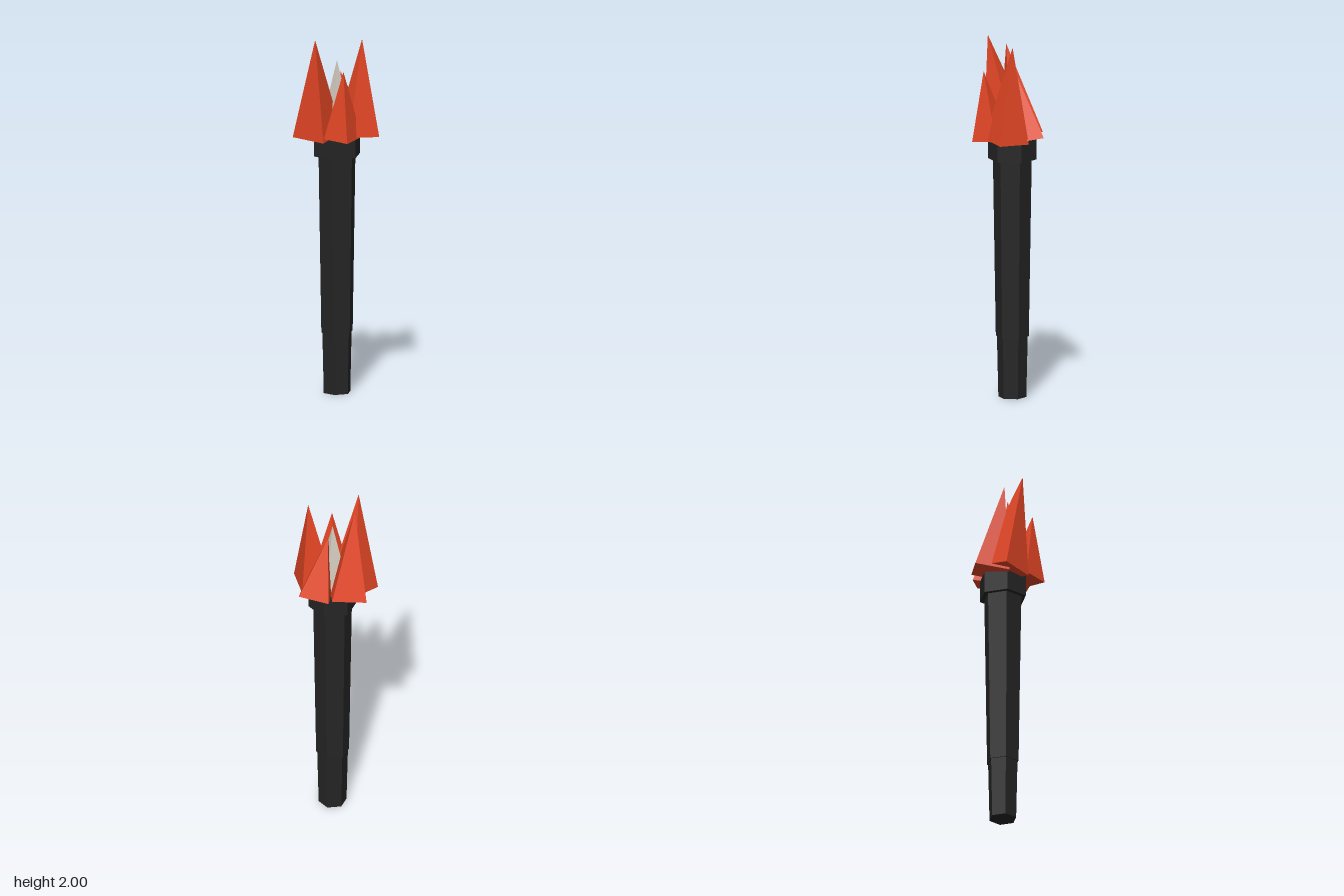
import * as THREE from 'three';

const charcoal = new THREE.MeshStandardMaterial({ color: 0x252525 });
charcoal.name = 'charcoal';
const flameOrange = new THREE.MeshStandardMaterial({ color: 0xe04524 });
flameOrange.name = 'flameOrange';
const paleCore = new THREE.MeshStandardMaterial({ color: 0xd4cbbf });
paleCore.name = 'paleCore';

const AXIS_X = -0.005, AXIS_Z = -0.01; // shaft centre line
const FLAME_Y = 1.45;                  // top of the collar

// One normal per face, for the faceted look
function faceted(geometry) {
  const flat = geometry.toNonIndexed();
  flat.computeVertexNormals();
  return flat;
}

function part(name, geometry, material) {
  const mesh = new THREE.Mesh(faceted(geometry), material);
  mesh.name = name;
  return mesh;
}

// Hexagonal shaft section between two heights
function section(name, y0, y1, r0, r1) {
  const mesh = part(name, new THREE.CylinderGeometry(r1, r0, y1 - y0, 6), charcoal);
  mesh.position.set(AXIS_X, (y0 + y1) / 2, AXIS_Z);
  return mesh;
}

// Four-sided spike: base centre [x, z], one base corner [x, z], tip [x, y, z]
function flame(name, [cx, cz], [kx, kz], tip) {
  const base = new THREE.Vector3(cx, FLAME_Y, cz);
  const axis = new THREE.Vector3(...tip).sub(base);
  const height = axis.length();
  const geometry = new THREE.ConeGeometry(Math.hypot(kx - cx, kz - cz), height, 4);
  geometry.translate(0, height / 2, 0);
  geometry.rotateY(Math.atan2(kx - cx, kz - cz));
  const mesh = part(name, geometry, flameOrange);
  mesh.quaternion.setFromUnitVectors(new THREE.Vector3(0, 1, 0), axis.normalize());
  mesh.position.copy(base);
  return mesh;
}

export function createModel() {
  const torch = new THREE.Group();
  torch.name = 'torch';

  // Shaft and collar
  torch.add(
    section('grip', 0, 0.34, 0.077, 0.085),
    section('shaft', 0.34, 1.33, 0.091, 0.107),
    section('collar', 1.33, FLAME_Y, 0.133, 0.133),
  );

  // Pale spike in the middle of the fire
  const core = part('flameCore', new THREE.ConeGeometry(0.1, 0.41, 4), paleCore);
  core.position.set(AXIS_X, FLAME_Y + 0.205, AXIS_Z);
  torch.add(core);

  // Ring of leaning flames
  torch.add(
    flame('flameFrontRight', [-0.108, 0.032], [-0.233, 0.09], [-0.10, 2.0, 0.137]),
    flame('flameBackRight', [-0.11, -0.046], [-0.237, -0.09], [-0.117, 1.95, 0.038]),
    flame('flameBack', [0.053, -0.104], [0.12, -0.202], [0.01, 1.79, -0.04]),
    flame('flameLeft', [0.111, 0.007], [0.237, 0.027], [0.131, 1.98, -0.029]),
    flame('flameFront', [0.0475, 0.1025], [0.09, 0.2], [0.058, 1.83, 0.14]),
  );
  return torch;
}
